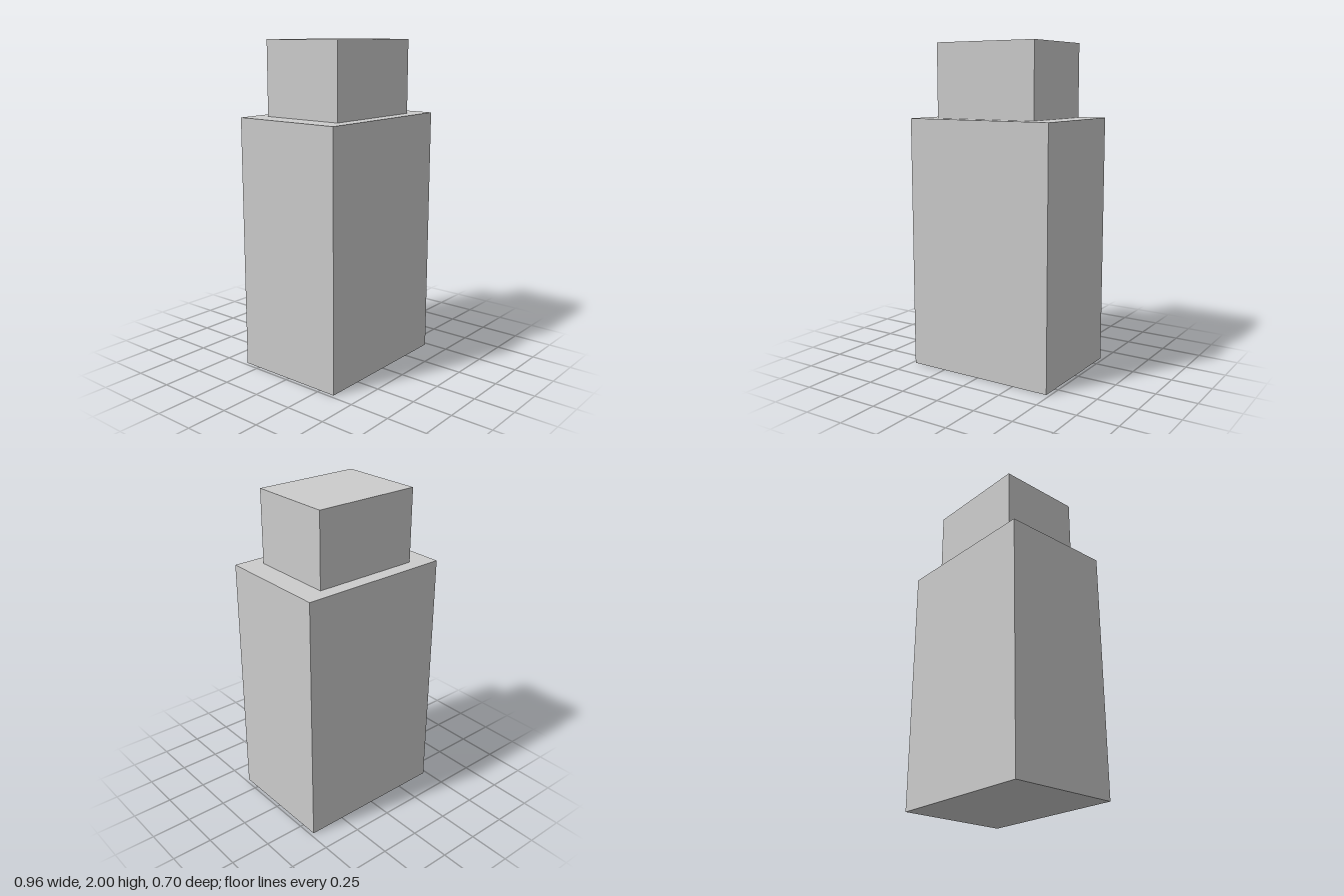
import * as THREE from 'three';

export function createModel() {
  const group = new THREE.Group();
  group.name = 'bottle';
  const material = new THREE.MeshStandardMaterial({ color: 0xcccccc, flatShading: true });

  // Adds a centred block standing on the given height
  const addBlock = (name, width, height, depth, bottom) => {
    const mesh = new THREE.Mesh(new THREE.BoxGeometry(width, height, depth), material);
    mesh.name = name;
    mesh.position.y = bottom + height / 2;
    group.add(mesh);
  };

  const bodyHeight = 1.55;
  addBlock('body', 0.957, bodyHeight, 0.705, 0);
  addBlock('cap', 0.675, 2 - bodyHeight, 0.535, bodyHeight);

  return group;
}
